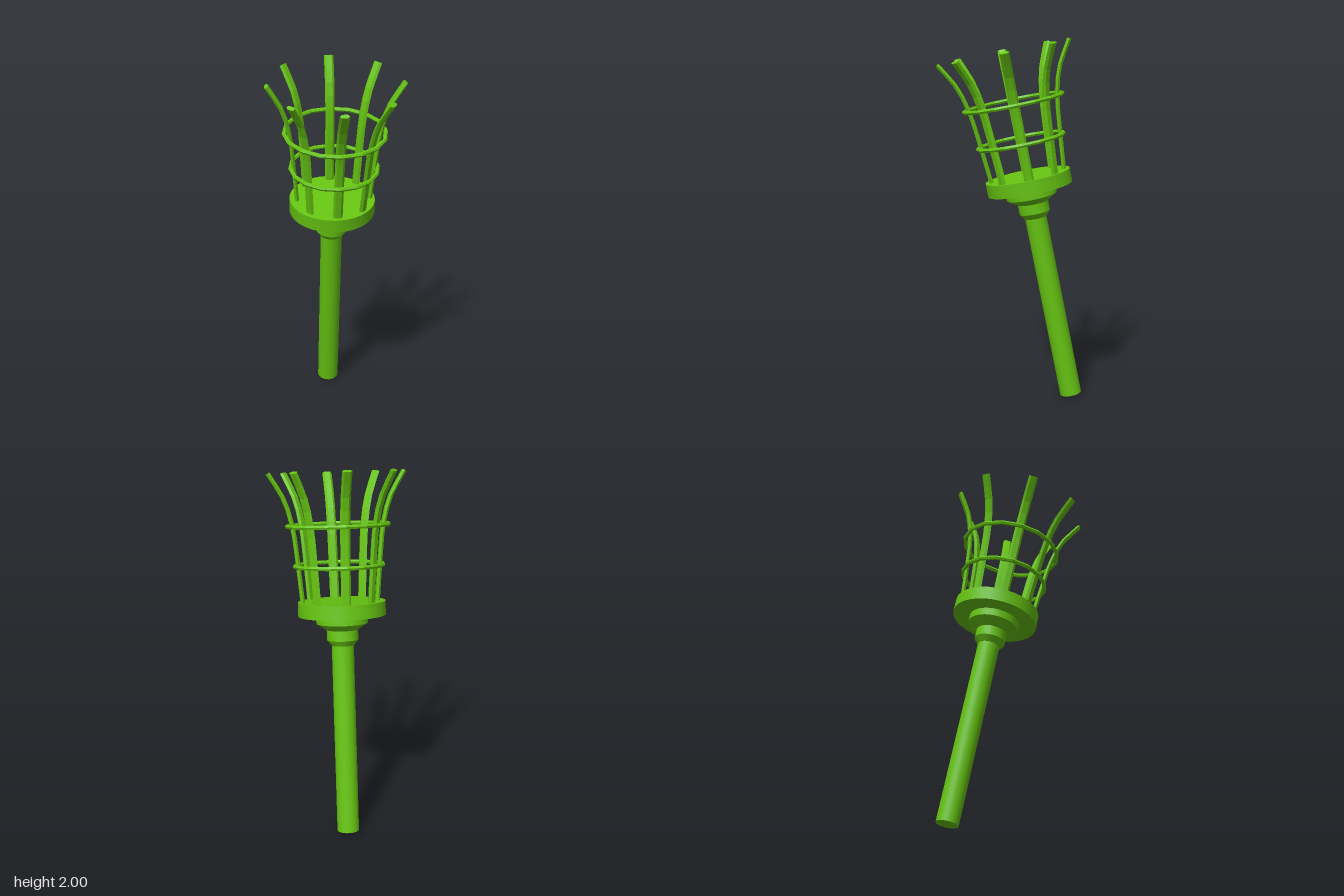
import * as THREE from 'three';
import { toCreasedNormals } from 'three/addons/utils/BufferGeometryUtils.js';

const v2 = (x, y) => new THREE.Vector2(x, y);

export function createModel() {
  const green = new THREE.MeshStandardMaterial({ color: 0x66c412 });
  const greenFlat = new THREE.MeshStandardMaterial({ color: 0x66c412, flatShading: true });

  // The whole torch is built upright, then leant forward about its foot
  const torch = new THREE.Group();
  torch.name = 'torch';
  torch.position.set(0, 0.012, -0.34);
  torch.rotation.x = THREE.MathUtils.degToRad(11.3);

  const add = (name, geometry, material, parent = torch) => {
    const mesh = new THREE.Mesh(geometry, material);
    mesh.name = name;
    parent.add(mesh);
    return mesh;
  };

  // Turned parts, from [radius, height] profiles; they sit slightly off the basket's axis
  const turned = (name, profile, sides) => {
    const lathe = new THREE.LatheGeometry(profile.map(([r, y]) => v2(r, y)), sides);
    add(name, toCreasedNormals(lathe, 0.5), green).position.x = -0.007;
  };
  turned('handle', [[0, 0], [0.06, 0], [0.06, 1.06], [0, 1.06]], 24);
  turned('collar', [[0, 1.035], [0.062, 1.035], [0.085, 1.065], [0.085, 1.12],
    [0.14, 1.155], [0.14, 1.2], [0, 1.2]], 24);
  turned('basketFloor', [[0, 1.197], [0.235, 1.197], [0.235, 1.272], [0, 1.272]], 32);

  // Basket hoops
  const hoop = (name, radius, y) => {
    const ring = add(name, new THREE.TorusGeometry(radius, 0.012, 6, 16), greenFlat);
    ring.rotation.x = Math.PI / 2;
    ring.position.y = y;
  };
  hoop('lowerHoop', 0.237, 1.465);
  hoop('upperHoop', 0.271, 1.677);

  // Basket bars: a flattened hexagon swept along an outward-curling path
  const path = new THREE.CatmullRomCurve3([
    [0.2, 1.25], [0.219, 1.465], [0.242, 1.67], [0.282, 1.815], [0.362, 1.955],
  ].map(([r, y]) => new THREE.Vector3(r, y, 0)));
  const section = new THREE.Shape([
    v2(0.026, 0), v2(0.015, 0.011), v2(-0.015, 0.011),
    v2(-0.026, 0), v2(-0.015, -0.011), v2(0.015, -0.011),
  ]);
  const barGeometry = new THREE.ExtrudeGeometry(section, { steps: 10, extrudePath: path });
  const bars = new THREE.Group();
  bars.name = 'basketBars';
  torch.add(bars);
  for (let i = 0; i < 8; i++) {
    add('basketBar', barGeometry, greenFlat, bars).rotation.y = (i * Math.PI) / 4;
  }

  const model = new THREE.Group();
  model.name = 'basketTorch';
  model.add(torch);
  return model;
}
